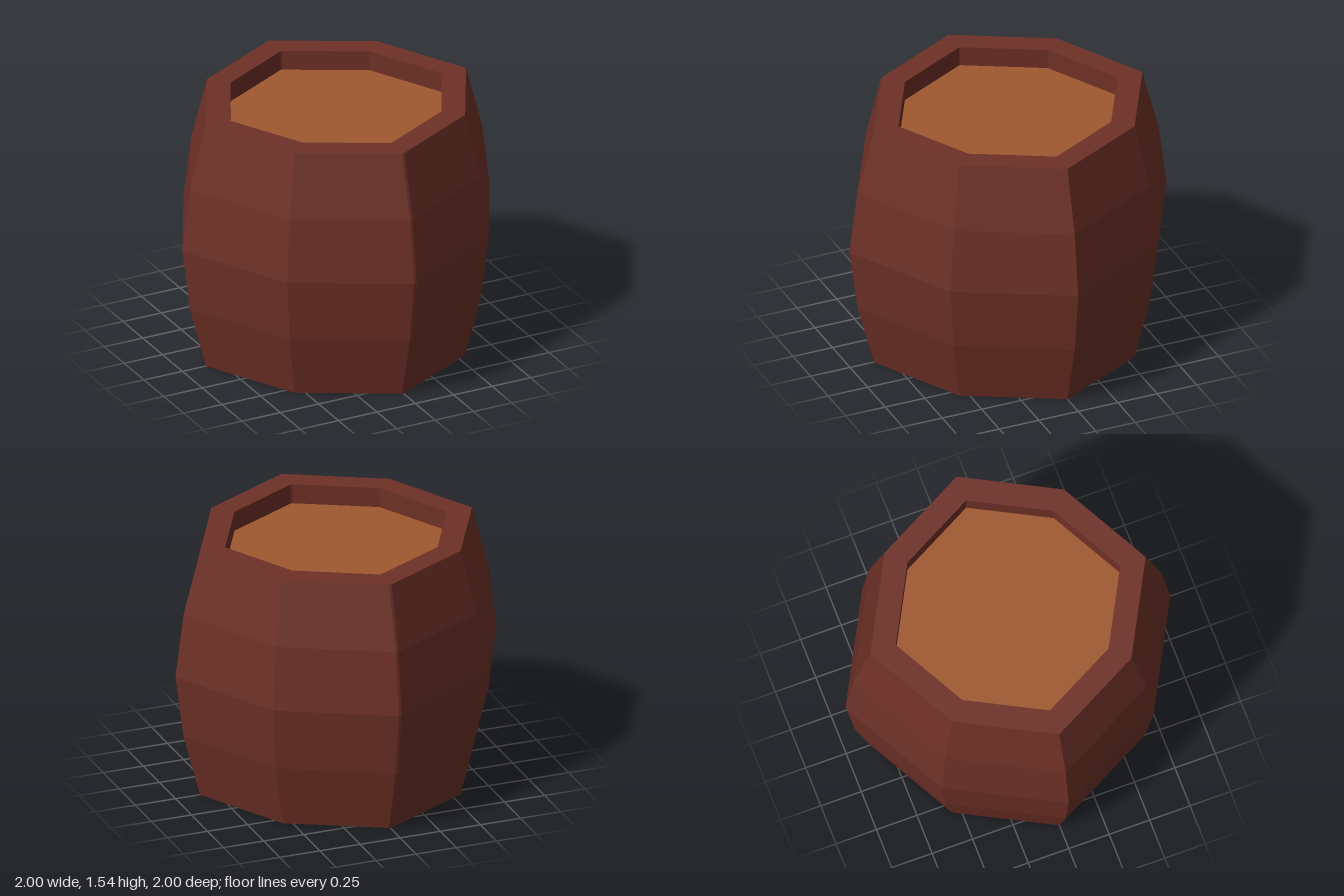
import * as THREE from 'three';

// Octagonal ring with slightly pulled-in diagonal corners and
// narrow chamfers on the front and back corners.
function ring(r, y) {
  const pts = [];
  const chamfer = 0.009 * r;
  for (let i = 0; i < 8; i++) {
    const a = (i * Math.PI) / 4;
    const s = i % 2 ? r * 0.926 : r;
    const x = Math.cos(a) * s, z = -Math.sin(a) * s;
    if (i === 2 || i === 6) {
      const side = i === 2 ? 1 : -1;
      pts.push([side * chamfer, y, z], [-side * chamfer, y, z]);
    } else pts.push([x, y, z]);
  }
  return pts;
}

// Flat-faced skin through rings given as [radius, height].
function loft(profile) {
  const rings = profile.map(([r, y]) => ring(r, y));
  const pos = [];
  for (let j = 0; j < rings.length - 1; j++) {
    const lo = rings[j], hi = rings[j + 1], n = lo.length;
    for (let i = 0; i < n; i++) {
      const k = (i + 1) % n;
      if (profile[j][0] > 0) pos.push(...lo[i], ...lo[k], ...hi[k]);
      if (profile[j + 1][0] > 0) pos.push(...lo[i], ...hi[k], ...hi[i]);
    }
  }
  const g = new THREE.BufferGeometry();
  g.setAttribute('position', new THREE.Float32BufferAttribute(pos, 3));
  g.computeVertexNormals();
  return g;
}

export function createModel() {
  const darkWood = new THREE.MeshStandardMaterial({ color: 0x6d3026 });
  darkWood.name = 'darkWood';
  const lightWood = new THREE.MeshStandardMaterial({ color: 0xa0582f });
  lightWood.name = 'lightWood';

  const barrel = new THREE.Group();
  barrel.name = 'barrel';
  const add = (name, profile, material) => {
    const mesh = new THREE.Mesh(loft(profile), material);
    mesh.name = name;
    barrel.add(mesh);
  };

  const H = 1.54, recess = 0.12, inner = 0.69;

  // Bulging wall with both rims and the recessed lips
  add('staves', [
    [inner, recess], [inner, 0],
    [0.847, 0], [0.95, H * 0.25], [1, H * 0.5], [0.95, H * 0.75], [0.847, H],
    [inner, H], [inner, H - recess],
  ], darkWood);

  // Sunken end boards
  add('topLid', [[inner, H - recess], [0, H - recess]], lightWood);
  add('bottomLid', [[0, recess], [inner, recess]], lightWood);

  return barrel;
}
